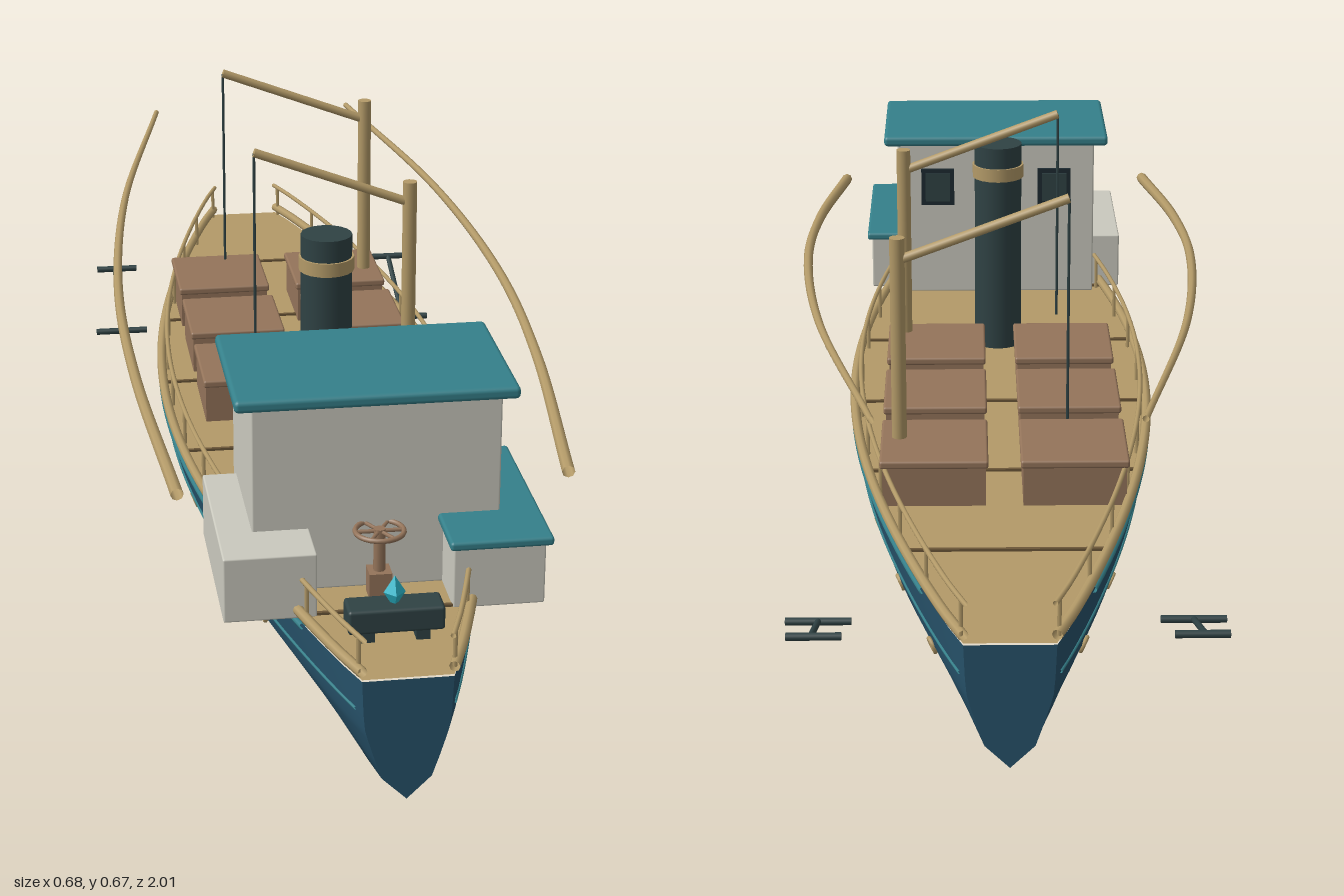
import * as THREE from 'three';
import { RoundedBoxGeometry } from 'three/addons/geometries/RoundedBoxGeometry.js';

const mat = (name, color, side = THREE.FrontSide) => {
  const m = new THREE.MeshStandardMaterial({ color, side });
  m.name = name;
  return m;
};
const M = {
  hull: mat('hull blue', 0x27526a),
  teal: mat('teal', 0x35808a, THREE.DoubleSide),
  tan: mat('tan wood', 0xb39a68, THREE.DoubleSide),
  brown: mat('brown crate', 0x94745a),
  seam: mat('dark seam', 0x6b5638),
  white: mat('off white', 0xcac9be),
  dark: mat('dark iron', 0x2f4244),
  glass: mat('dark glass', 0x1d2a30),
  cyan: mat('cyan crystal', 0x2bb8cc),
};
const DECK = 0.195;
const V = (x, y, z) => new THREE.Vector3(x, y, z);

// Half-width of the hull at a station along its length
const halfWidth = z => 0.065 + 0.185 * Math.pow(Math.max(0, Math.cos(z * Math.PI / 2)), 0.9);

export function createModel() {
  const root = new THREE.Group();
  root.name = 'cargoShip';

  const add = (name, geo, material, x = 0, y = 0, z = 0) => {
    const m = new THREE.Mesh(geo, material);
    m.name = name;
    m.position.set(x, y, z);
    root.add(m);
    return m;
  };
  // Box given by its limits on each axis
  const box = (name, material, x0, x1, y0, y1, z0, z1, r = 0) => add(name,
    r ? new RoundedBoxGeometry(x1 - x0, y1 - y0, z1 - z0, 2, r) : new THREE.BoxGeometry(x1 - x0, y1 - y0, z1 - z0),
    material, (x0 + x1) / 2, (y0 + y1) / 2, (z0 + z1) / 2);
  // Straight round bar between two points
  const bar = (name, material, a, b, r, sides = 10) => {
    const m = add(name, new THREE.CylinderGeometry(r, r, a.distanceTo(b), sides), material);
    m.position.copy(a).lerp(b, 0.5);
    m.quaternion.setFromUnitVectors(V(0, 1, 0), b.clone().sub(a).normalize());
    return m;
  };
  // Tube following the hull side
  const sideTube = (name, material, s, scale, y, r, reach) => {
    const pts = [];
    for (let i = 0; i <= 32; i++) {
      const z = (i / 16 - 1) * reach;
      pts.push(V(s * halfWidth(z) * scale, y, z));
    }
    add(name, new THREE.TubeGeometry(new THREE.CatmullRomCurve3(pts), 64, r, 8), material);
  };

  // Hull skin from scaled cross-sections
  const half = [[1, DECK - 0.003], [0.965, 0.14], [0.93, 0.115], [0.87, 0.1], [0.71, 0.066], [0.55, 0.035], [0, 0]];
  const section = [...half, ...half.slice(0, -1).reverse().map(([u, y]) => [-u, y])];
  const N = 40, W = section.length, pos = [], idx = [];
  for (let i = 0; i <= N; i++) {
    const z = -1 + 2 * i / N;
    for (const [u, y] of section) pos.push(u * halfWidth(z), y, z);
  }
  for (let i = 0; i < N; i++) for (let j = 0; j < W - 1; j++) {
    const a = i * W + j, b = a + W;
    idx.push(a, b, a + 1, b, b + 1, a + 1);
  }
  const skin = new THREE.BufferGeometry();
  skin.setAttribute('position', new THREE.Float32BufferAttribute(pos, 3));
  skin.setIndex(idx);
  skin.computeVertexNormals();
  add('hull', skin, M.hull);
  const endShape = new THREE.Shape(section.map(([u, y]) => new THREE.Vector2(u * halfWidth(1), y)));
  add('bowPlate', new THREE.ShapeGeometry(endShape), M.hull, 0, 0, 1);
  add('sternPlate', new THREE.ShapeGeometry(endShape), M.hull, 0, 0, -1).rotation.y = Math.PI;

  // Deck and its seams
  const outline = [];
  for (let i = 0; i <= N; i++) outline.push(new THREE.Vector2(halfWidth(-1 + 2 * i / N), -1 + 2 * i / N));
  for (let i = N; i >= 0; i--) outline.push(new THREE.Vector2(-halfWidth(-1 + 2 * i / N), -1 + 2 * i / N));
  add('deck', new THREE.ShapeGeometry(new THREE.Shape(outline)), M.tan, 0, DECK, 0).rotation.x = -Math.PI / 2;
  for (let k = 0; k < 6; k++) {
    const z = -0.7 + k * 0.3, w = halfWidth(z);
    box('deckSeam', M.seam, -w, w, DECK, DECK + 0.004, z - 0.003, z + 0.003);
  }

  for (const s of [-1, 1]) {
    // Gunwale, rubbing strips and guard rail
    sideTube('gunwale', M.tan, s, 1, 0.207, 0.008, 1);
    sideTube('rubbingStrip', M.teal, s, 1.005, 0.188, 0.005, 0.82);
    sideTube('lowerStrip', M.teal, s, 0.968, 0.14, 0.0025, 0.98);
    sideTube('guardRail', M.tan, s, 0.955, 0.255, 0.004, 1);
    for (let i = 0; i <= 12; i++) {
      const z = (i / 6 - 1) * 0.985, x = s * halfWidth(z) * 0.955;
      bar('railPost', M.tan, V(x, DECK, z), V(x, 0.255, z), 0.0035, 6);
    }

    // Portholes
    for (let i = 0; i < 8; i++) {
      const z = 0.63 - 0.21 * i, x = halfWidth(z) * 0.915;
      const slope = (halfWidth(z + 0.01) - halfWidth(z - 0.01)) / 0.02;
      const out = V(s * (x + 0.001), 0.111, z).add(V(s, -0.4, -slope));
      for (const [name, geo, m] of [
        ['portholeRing', new THREE.TorusGeometry(0.011, 0.0035, 6, 16), M.tan],
        ['portholeGlass', new THREE.CircleGeometry(0.01, 16), M.glass]]) {
        add(name, geo, m, s * (x + 0.002), 0.111, z).lookAt(out);
      }
    }

    // Long curved side boom, tapering toward the stern
    const curve = new THREE.CatmullRomCurve3([V(0.292, 0.353, 0.7), V(0.325, 0.39, 0.33), V(0.329, 0.417, 0.02),
      V(0.29, 0.443, -0.38), V(0.192, 0.468, -0.855)].map(p => p.setX(p.x * s)));
    const boom = new THREE.TubeGeometry(curve, 40, 0.01, 8), p = boom.attributes.position;
    for (let i = 0; i < p.count; i++) {
      const t = Math.floor(i / 9) / 40, c = curve.getPointAt(t);
      const v = V(0, 0, 0).fromBufferAttribute(p, i).sub(c).multiplyScalar(1 - 0.5 * t).add(c);
      p.setXYZ(i, v.x, v.y, v.z);
    }
    add('sideBoom', boom, M.tan);

    // Anchor
    bar('anchorShank', M.dark, V(s * 0.284, 0.136, -0.86), V(s * 0.284, 0.07, -0.68), 0.005);
    bar('anchorStock', M.dark, V(s * 0.24, 0.136, -0.86), V(s * 0.32, 0.136, -0.86), 0.006);
    bar('anchorArms', M.dark, V(s * 0.234, 0.07, -0.68), V(s * 0.334, 0.07, -0.68), 0.006);

    // Cargo hatches with lids
    for (const z of [-0.453, -0.228, -0.003]) {
      const x = s * 0.109;
      box('hatch', M.brown, x - 0.08, x + 0.08, DECK, 0.262, z - 0.083, z + 0.083);
      box('hatchLid', M.brown, x - 0.084, x + 0.084, 0.258, 0.271, z - 0.088, z + 0.088, 0.004);
    }

    // Side cabins
    box('sideCabin', M.white, s < 0 ? -0.237 : 0.1, s < 0 ? -0.1 : 0.237, DECK - 0.002, 0.295, 0.51, 0.805, 0.003);
  }
  box('sideCabinRoof', M.teal, 0.092, 0.245, 0.293, 0.307, 0.49, 0.822, 0.005);

  // Main cabin with windows facing aft
  box('cabin', M.white, -0.185, 0.185, DECK, 0.489, 0.475, 0.72, 0.003);
  box('cabinRoof', M.teal, -0.21, 0.21, 0.487, 0.506, 0.458, 0.73, 0.007);
  for (const x of [-0.11, 0, 0.11]) {
    box('windowFrame', M.glass, x - 0.031, x + 0.031, 0.37, 0.44, 0.468, 0.476);
    box('windowPane', M.dark, x - 0.023, x + 0.023, 0.378, 0.432, 0.466, 0.469);
  }

  // Funnel
  const funnel = (name, m, r, y0, y1) =>
    add(name, new THREE.CylinderGeometry(r, r, y1 - y0, 18), m, 0, (y0 + y1) / 2, 0.2);
  funnel('funnel', M.dark, 0.042, DECK, 0.568);
  funnel('funnelBand', M.tan, 0.0455, 0.508, 0.531);

  // Cargo masts with boom and cable
  for (const z of [0.048, -0.438]) {
    bar('mast', M.tan, V(0.164, DECK, z), V(0.164, 0.6, z), 0.012, 14);
    bar('cargoBoom', M.tan, V(0.164, 0.563, z), V(-0.1, 0.662, z), 0.0075);
    bar('cable', M.dark, V(-0.1, 0.66, z), V(-0.1, 0.3, z), 0.0025, 6);
  }

  // Foredeck console with crystal
  box('console', M.dark, -0.07, 0.07, 0.213, 0.25, 0.855, 0.905, 0.005);
  for (const x of [-0.04, 0.04]) box('consoleFoot', M.dark, x - 0.01, x + 0.01, DECK, 0.215, 0.865, 0.895);
  const gem = new THREE.OctahedronGeometry(1);
  gem.scale(0.016, 0.026, 0.016);
  add('crystal', gem, M.cyan, 0, 0.266, 0.88);

  // Steering wheel on a pedestal
  box('wheelPedestal', M.brown, -0.017, 0.017, DECK, 0.235, 0.73, 0.764);
  bar('wheelColumn', M.brown, V(0, 0.23, 0.747), V(0, 0.302, 0.747), 0.009);
  add('wheelRim', new THREE.TorusGeometry(0.036, 0.004, 8, 24), M.brown, 0, 0.298, 0.747).rotation.x = Math.PI / 2;
  for (let k = 0; k < 3; k++) {
    const c = 0.036 * Math.cos(k * Math.PI / 3), d = 0.036 * Math.sin(k * Math.PI / 3);
    bar('wheelSpoke', M.brown, V(-c, 0.298, 0.747 - d), V(c, 0.298, 0.747 + d), 0.003, 6);
  }
  return root;
}
